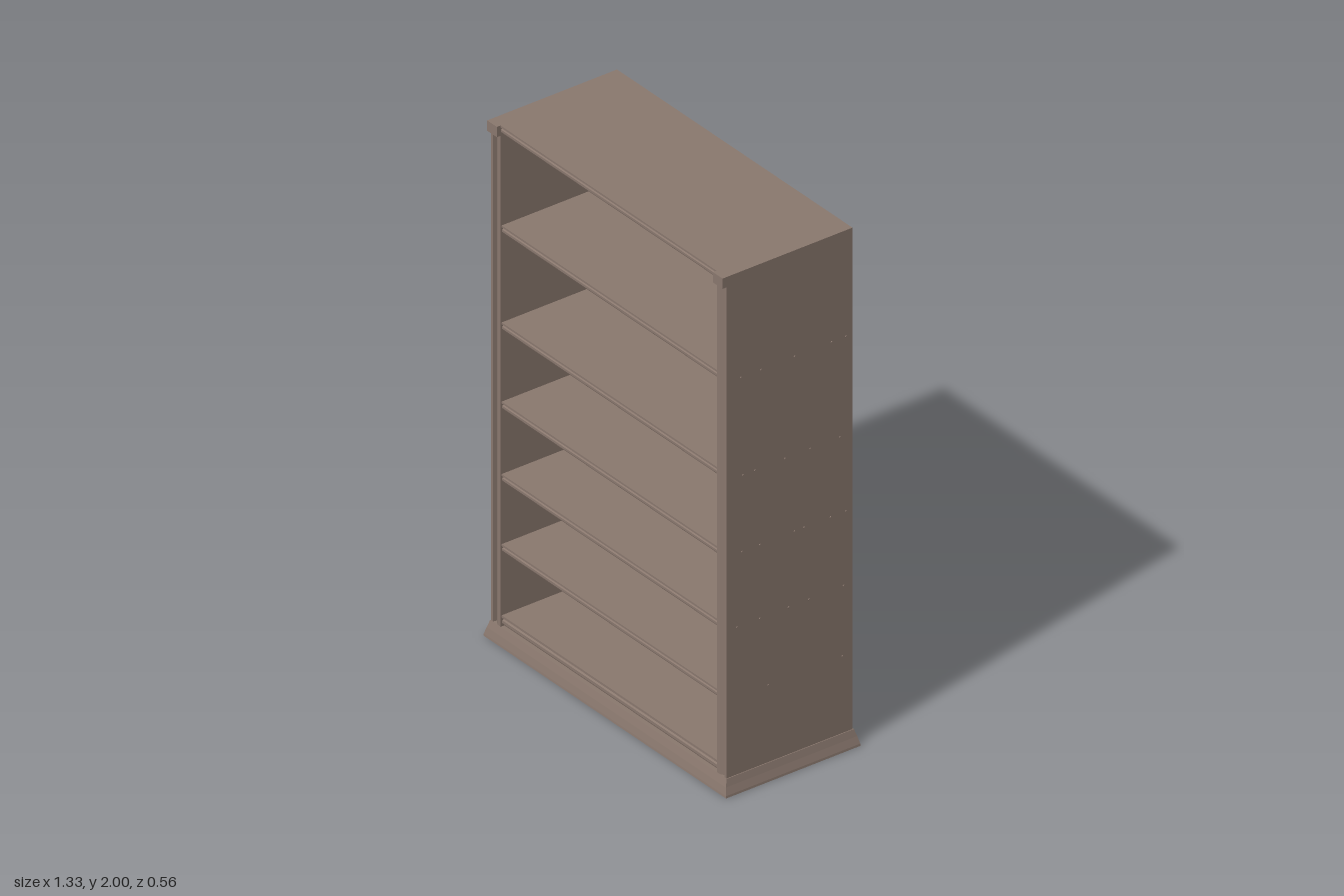
import * as THREE from 'three';

const wood = new THREE.MeshStandardMaterial({ color: 0x8a786e });
wood.name = 'brownWood';

const INNER = 0.59, OUTER = 0.643, BACK = -0.262;

function add(group, name, geometry) {
  const mesh = new THREE.Mesh(geometry, wood);
  mesh.name = name;
  group.add(mesh);
  return mesh;
}

function extrude(points, depth) {
  const shape = new THREE.Shape(points.map(([a, b]) => new THREE.Vector2(a, b)));
  return new THREE.ExtrudeGeometry(shape, { depth, bevelEnabled: false });
}

// Board running along x, with a (z, y) cross-section
function boardAlongX(points, halfWidth) {
  return extrude(points, halfWidth * 2).rotateY(-Math.PI / 2).translate(halfWidth, 0, 0);
}

// Section of a shelf with a stepped, moulded front edge
function shelfSection(bottom, top, front) {
  const h = top - bottom, y = (t) => bottom + h * t;
  return [
    [BACK, bottom], [front - 0.012, bottom], [front - 0.008, y(0.25)], [front - 0.002, y(0.32)],
    [front - 0.002, y(0.55)], [front - 0.009, y(0.62)], [front - 0.006, y(0.74)],
    [front, y(0.8)], [front, top], [BACK, top],
  ];
}

export function createModel() {
  const bookcase = new THREE.Group();
  bookcase.name = 'bookcase';

  // Flared plinth: one loft through four rectangular levels
  const levels = [[0, 0.663, 0.281], [0.008, 0.662, 0.28], [0.035, 0.653, 0.274], [0.062, 0.646, 0.266]];
  const plinth = new THREE.BoxGeometry(2, 3, 2, 1, 3, 1);
  const p = plinth.attributes.position;
  for (let i = 0; i < p.count; i++) {
    const [y, x, z] = levels[Math.round(p.getY(i) + 1.5)];
    p.setXYZ(i, p.getX(i) * x, y, p.getZ(i) * z);
  }
  const flatPlinth = plinth.toNonIndexed();
  flatPlinth.computeVertexNormals();
  add(bookcase, 'plinth', flatPlinth);

  // Side panels with a moulded front edge
  for (const s of [1, -1]) {
    const section = [
      [INNER, BACK], [OUTER, BACK], [OUTER, 0.264], [0.633, 0.264], [0.63, 0.25],
      [0.608, 0.264], [INNER, 0.264],
    ].map(([x, z]) => [s * x, -z]);
    const panel = extrude(section, 1.9).rotateX(-Math.PI / 2).translate(0, 0.061, 0);
    add(bookcase, s > 0 ? 'leftSidePanel' : 'rightSidePanel', panel);

    // Square end of the top board
    const cap = new THREE.BoxGeometry(OUTER - INNER, 0.04, 0.28 - BACK);
    cap.translate(s * (OUTER + INNER) / 2, 1.98, (0.28 + BACK) / 2);
    add(bookcase, s > 0 ? 'leftTopEnd' : 'rightTopEnd', cap);
  }

  // Shelves between the side panels
  for (const y of [0.105, 0.38, 0.651, 0.931, 1.237, 1.612]) {
    const bottom = y < 0.2 ? 0.06 : y - 0.037;
    add(bookcase, 'shelf', boardAlongX(shelfSection(bottom, y, 0.26), INNER));
  }
  add(bookcase, 'topBoard', boardAlongX(shelfSection(1.963, 2, 0.265), INNER));

  // Tiny nail heads along each shelf line
  const nailRows = [
    [0.36, [0.09, -0.22]],
    [0.63, [0.22, 0.125, 0.005, -0.08, -0.225]],
    [0.915, [0.2, 0.125, -0.02, -0.06, -0.17, -0.235]],
    [1.21, [0.195, 0.145, 0.02, -0.085, -0.21]],
    [1.59, [0.205, 0.12, -0.02, -0.175, -0.235]],
  ];
  for (const s of [1, -1]) {
    for (const [y, depths] of nailRows) {
      for (const z of depths) {
        const nail = add(bookcase, 'nailHead', new THREE.CylinderGeometry(0.003, 0.005, 0.006, 6));
        nail.rotation.z = -s * Math.PI / 2;
        nail.position.set(s * OUTER, y, z);
      }
    }
  }
  return bookcase;
}
